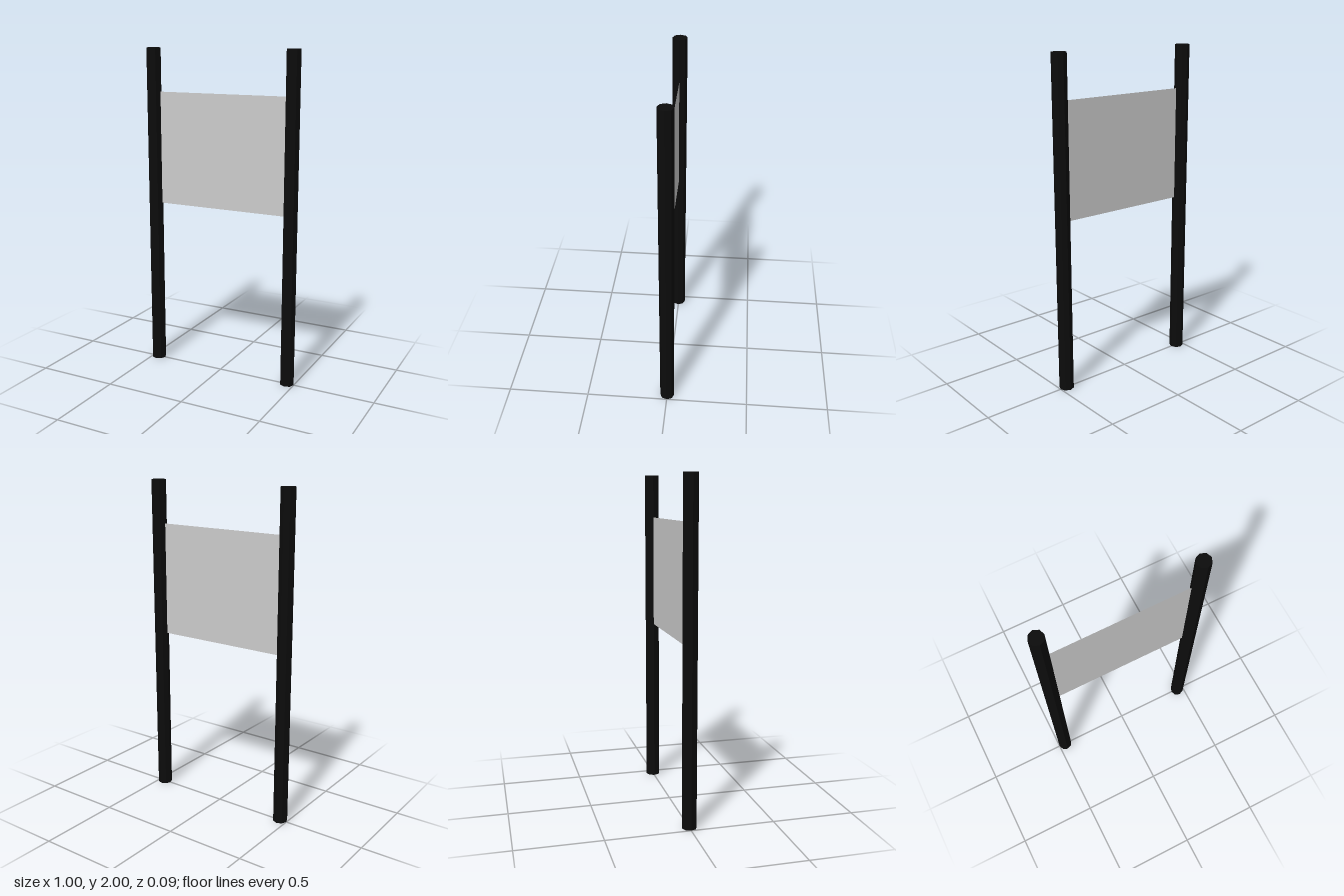
import * as THREE from 'three';

export function createModel() {
  const model = new THREE.Group();

  // Two octagonal posts
  const radius = 0.044, postX = 0.456;
  const postMaterial = new THREE.MeshStandardMaterial({ color: 0x0c0c0c, flatShading: true });
  const postGeometry = new THREE.CylinderGeometry(radius, radius, 2, 8);
  for (const [name, side] of [['leftPost', 1], ['rightPost', -1]]) {
    const post = new THREE.Mesh(postGeometry, postMaterial);
    post.name = name;
    post.position.set(side * postX, 1, 0);
    model.add(post);
  }

  // Thin sheet stretched between the posts
  const bottom = 1.045, top = 1.737;
  const panel = new THREE.Mesh(
    new THREE.PlaneGeometry(2 * (postX - radius) + 0.004, top - bottom),
    new THREE.MeshStandardMaterial({ color: 0xcccccc, side: THREE.DoubleSide })
  );
  panel.name = 'panel';
  panel.position.y = (bottom + top) / 2;
  model.add(panel);

  return model;
}
